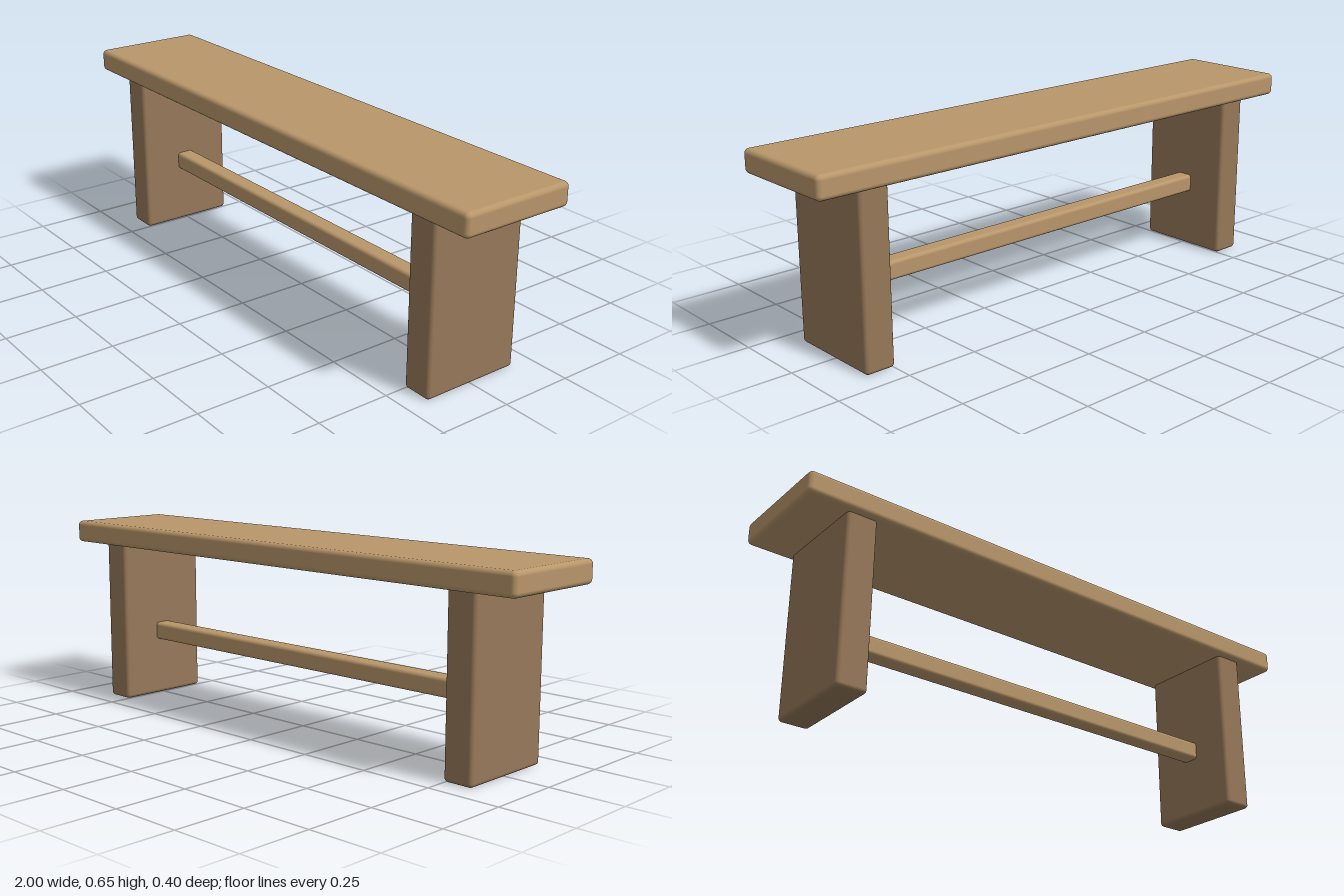
import * as THREE from 'three';
import { RoundedBoxGeometry } from 'three/addons/geometries/RoundedBoxGeometry.js';

export function createModel() {
  const bench = new THREE.Group();
  bench.name = 'bench';

  const lightWood = new THREE.MeshStandardMaterial({ color: 0xb8966a });
  lightWood.name = 'light wood';
  const darkWood = new THREE.MeshStandardMaterial({ color: 0x967859 });
  darkWood.name = 'dark wood';

  // Plank with softly rounded edges, placed by its centre
  function plank(name, material, size, position, radius) {
    const mesh = new THREE.Mesh(new RoundedBoxGeometry(...size, 3, radius), material);
    mesh.name = name;
    mesh.position.set(...position);
    bench.add(mesh);
  }

  // Seat board
  plank('seat', lightWood, [2, 0.078, 0.4], [0, 0.616, 0], 0.016);

  // Slab legs, tucked slightly into the seat
  for (const [name, side] of [['leftLeg', 1], ['rightLeg', -1]]) {
    plank(name, darkWood, [0.105, 0.59, 0.35], [side * 0.798, 0.295, 0], 0.013);
  }

  // Stretcher bar, its ends set into the legs
  plank('stretcher', lightWood, [1.54, 0.064, 0.064], [0, 0.242, 0], 0.012);

  return bench;
}
